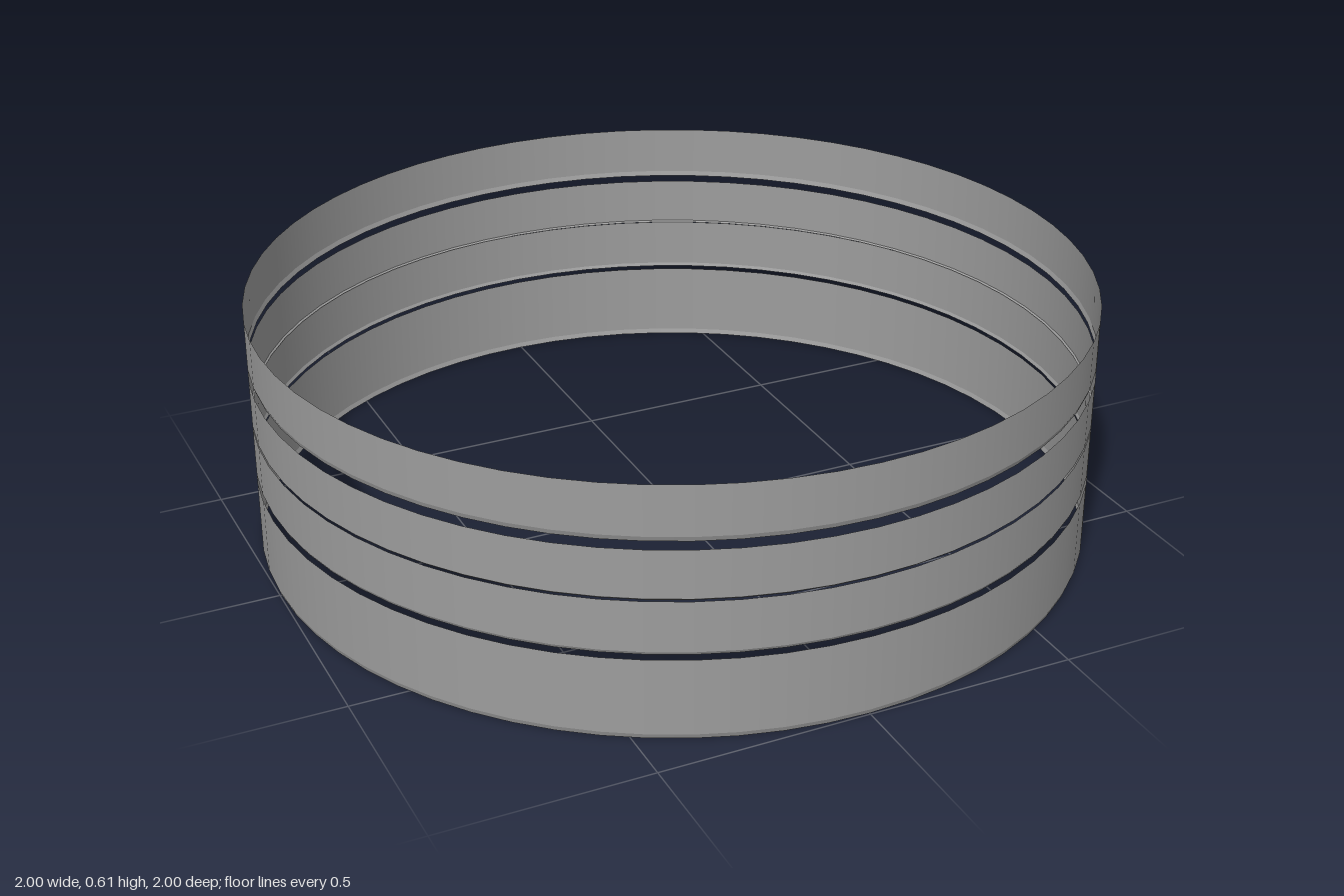
import * as THREE from 'three';

export function createModel() {
  const group = new THREE.Group();
  group.name = 'stackedBands';
  const material = new THREE.MeshStandardMaterial({ color: 0x9d9d9d, side: THREE.DoubleSide });

  // Open hoop wall between two heights
  const addHoop = (parent, name, bottomRadius, bottom, top) => {
    const geometry = new THREE.CylinderGeometry(1, bottomRadius, top - bottom, 64, 1, true);
    const hoop = new THREE.Mesh(geometry, material);
    hoop.name = name;
    hoop.position.y = (bottom + top) / 2;
    parent.add(hoop);
  };

  // Stacked bands with narrow gaps: [name, bottom, top, lip height]
  const bands = [
    ['bottomBand', 0, 0.197, 0.012],
    ['lowerMiddleBand', 0.208, 0.338, 0.008],
    ['upperMiddleBand', 0.34, 0.46, 0.004],
    ['topBand', 0.478, 0.61, 0.012],
  ];
  for (const [name, bottom, top, lip] of bands) {
    const band = new THREE.Group();
    band.name = name;
    addHoop(band, 'wall', 1, bottom + lip, top);
    // Lower edge turned slightly inward
    addHoop(band, 'lip', 0.996, bottom, bottom + lip);
    group.add(band);
  }
  return group;
}
